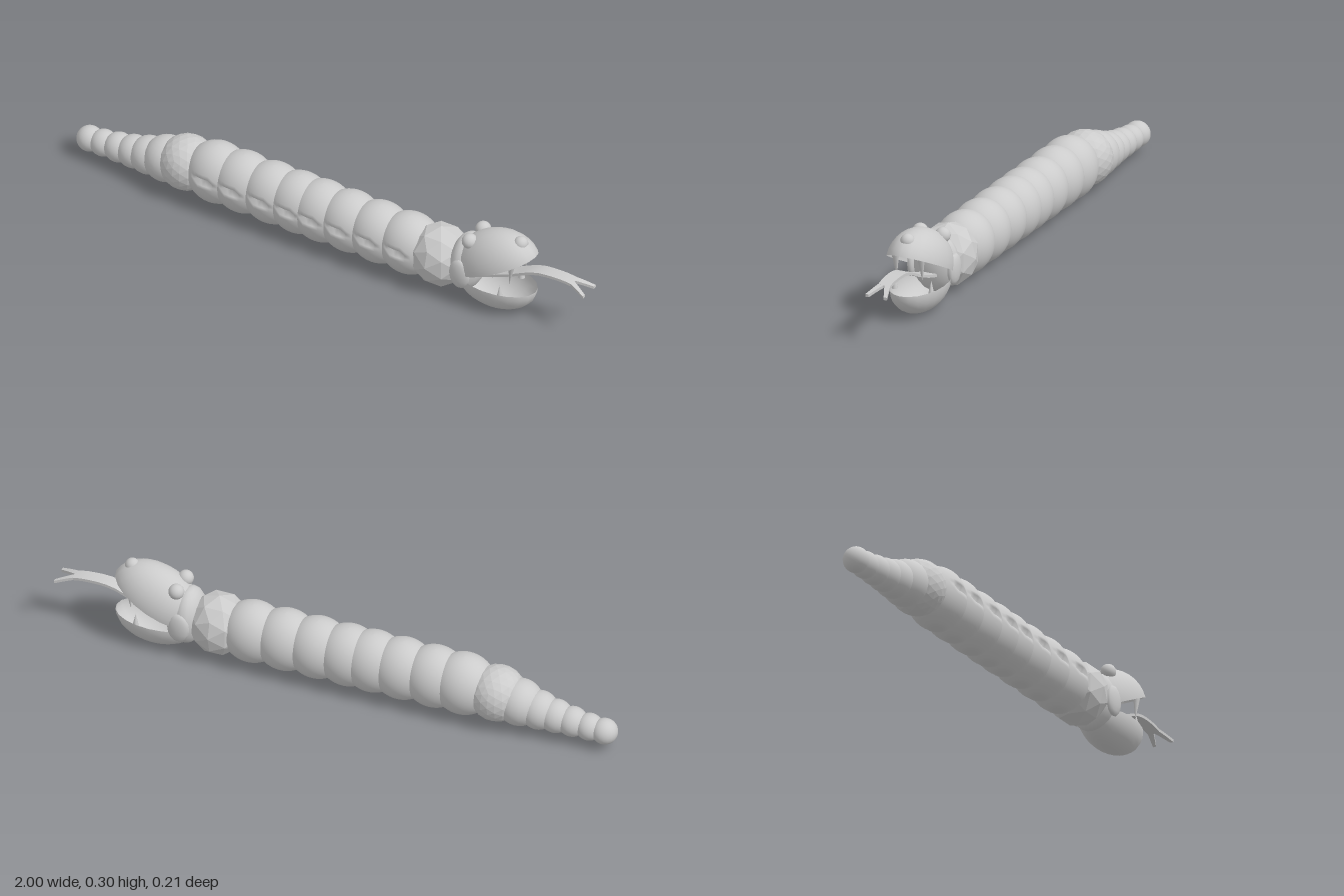
import * as THREE from 'three';

const material = new THREE.MeshStandardMaterial({ color: 0xcccccc, side: THREE.DoubleSide });
const flatMaterial = new THREE.MeshStandardMaterial({ color: 0xcccccc, flatShading: true });

function add(parent, name, geometry, position, mat = material) {
  const mesh = new THREE.Mesh(geometry, mat);
  mesh.name = name;
  mesh.position.set(...position);
  parent.add(mesh);
  return mesh;
}

// Body ring: a rounded bead with a short slot pressed into its +z side
function bodyBead() {
  const geometry = new THREE.SphereGeometry(0.11, 36, 26);
  const p = geometry.attributes.position;
  for (let i = 0; i < p.count; i++) {
    const x = p.getX(i), y = p.getY(i), z = p.getZ(i);
    const slot = z > 0 && Math.abs(x) < 0.031 && Math.abs(y - 0.011) < 0.01;
    p.setZ(i, z * 0.9 - (slot ? 0.018 : 0));
    // slight keel along the belly
    if (y < -0.1) p.setY(i, y - 0.003);
  }
  geometry.computeVertexNormals();
  return geometry;
}

// Half ellipsoid shell, open on its flat side
function shell(rx, ry, rz, lower) {
  const geometry = new THREE.SphereGeometry(1, 20, 8, 0, Math.PI * 2, lower ? Math.PI / 2 : 0, Math.PI / 2);
  return geometry.scale(rx, ry, rz);
}

// Strip from x0 to x1 following the tongue curve; its centre line and width vary in z
const tonguePath = new THREE.CatmullRomCurve3([
  [0.52, 0.1], [0.6, 0.115], [0.7, 0.15], [0.8, 0.193], [0.88, 0.2], [0.94, 0.194], [1, 0.176],
].map(([x, y]) => new THREE.Vector3(x, y, 0)));

function tongueStrip(t0, t1, z0, z1, w0, w1) {
  const geometry = new THREE.BoxGeometry(1, 0.01, 1, 14, 1, 1);
  const p = geometry.attributes.position;
  for (let i = 0; i < p.count; i++) {
    const s = p.getX(i) + 0.5;
    const c = tonguePath.getPoint(THREE.MathUtils.lerp(t0, t1, s));
    const z = THREE.MathUtils.lerp(z0, z1, s) + p.getZ(i) * THREE.MathUtils.lerp(w0, w1, s);
    p.setXYZ(i, c.x, c.y + p.getY(i), z);
  }
  geometry.computeVertexNormals();
  return geometry;
}

export function createModel() {
  const model = new THREE.Group();
  model.name = 'snake';

  // Main body
  const body = new THREE.Group();
  body.name = 'body';
  model.add(body);
  const bead = bodyBead();
  for (const x of [-0.45, -0.345, -0.23, -0.125, -0.035, 0.075, 0.19, 0.308]) {
    add(body, 'bodySegment', bead, [x, 0.128, 0]);
  }
  add(body, 'neck', new THREE.IcosahedronGeometry(0.112, 1).scale(0.95, 1, 0.93), [0.43, 0.128, 0], flatMaterial);

  // Tail, from the hip to the tip
  const tail = new THREE.Group();
  tail.name = 'tail';
  model.add(tail);
  add(tail, 'tailBase', new THREE.IcosahedronGeometry(0.097, 3), [-0.57, 0.122, 0], flatMaterial);
  for (const [x, y, r] of [
    [-0.65, 0.107, 0.081], [-0.72, 0.094, 0.067], [-0.78, 0.086, 0.058],
    [-0.84, 0.08, 0.052], [-0.9, 0.075, 0.047], [-0.955, 0.072, 0.045],
  ]) {
    add(tail, 'tailSegment', new THREE.SphereGeometry(r, 20, 14), [x, y, 0]);
  }

  // Head with gaping jaws
  const head = new THREE.Group();
  head.name = 'head';
  head.position.z = -0.007;
  model.add(head);
  const upper = add(head, 'upperJaw', shell(0.165, 0.122, 0.1, false), [0.65, 0.173, 0]);
  upper.rotation.z = 0.47;
  add(head, 'lowerJaw', shell(0.152, 0.1, 0.088, true), [0.645, 0.105, 0]);
  add(head, 'skullBack', new THREE.SphereGeometry(0.1, 16, 12).scale(0.55, 1.05, 0.85), [0.535, 0.14, 0]);
  add(head, 'nose', new THREE.SphereGeometry(0.025, 16, 12), [0.74, 0.284, 0]);

  for (const side of [-1, 1]) {
    add(head, 'eye', new THREE.SphereGeometry(0.027, 16, 12), [0.565, 0.252, side * 0.042]);
    add(head, 'browBump', new THREE.SphereGeometry(0.016, 12, 8), [0.645, 0.271, side * 0.03]);

    // Long fangs hang from the upper jaw, short ones rise from the lower jaw
    const fang = add(head, 'upperFang', new THREE.ConeGeometry(0.013, 0.09, 10), [0.73, 0.185, side * 0.048]);
    fang.rotation.z = Math.PI - 0.12;
    add(head, 'lowerFang', new THREE.ConeGeometry(0.011, 0.05, 10), [0.7, 0.115, side * 0.068]);
    // Cheek joining the jaws at the back
    add(head, 'cheek', new THREE.SphereGeometry(0.05, 12, 8).scale(0.8, 1.1, 0.35), [0.545, 0.13, side * 0.075]);
  }

  // Forked tongue
  const tongue = new THREE.Group();
  tongue.name = 'tongue';
  model.add(tongue);
  add(tongue, 'tongueBody', tongueStrip(0, 0.84, -0.005, -0.022, 0.06, 0.044), [0, 0, 0]);
  add(tongue, 'tongueFork', tongueStrip(0.83, 1, -0.033, -0.056, 0.022, 0.012), [0, 0, 0]);
  add(tongue, 'tongueFork', tongueStrip(0.83, 1, -0.011, 0.012, 0.022, 0.012), [0, 0, 0]);

  return model;
}
